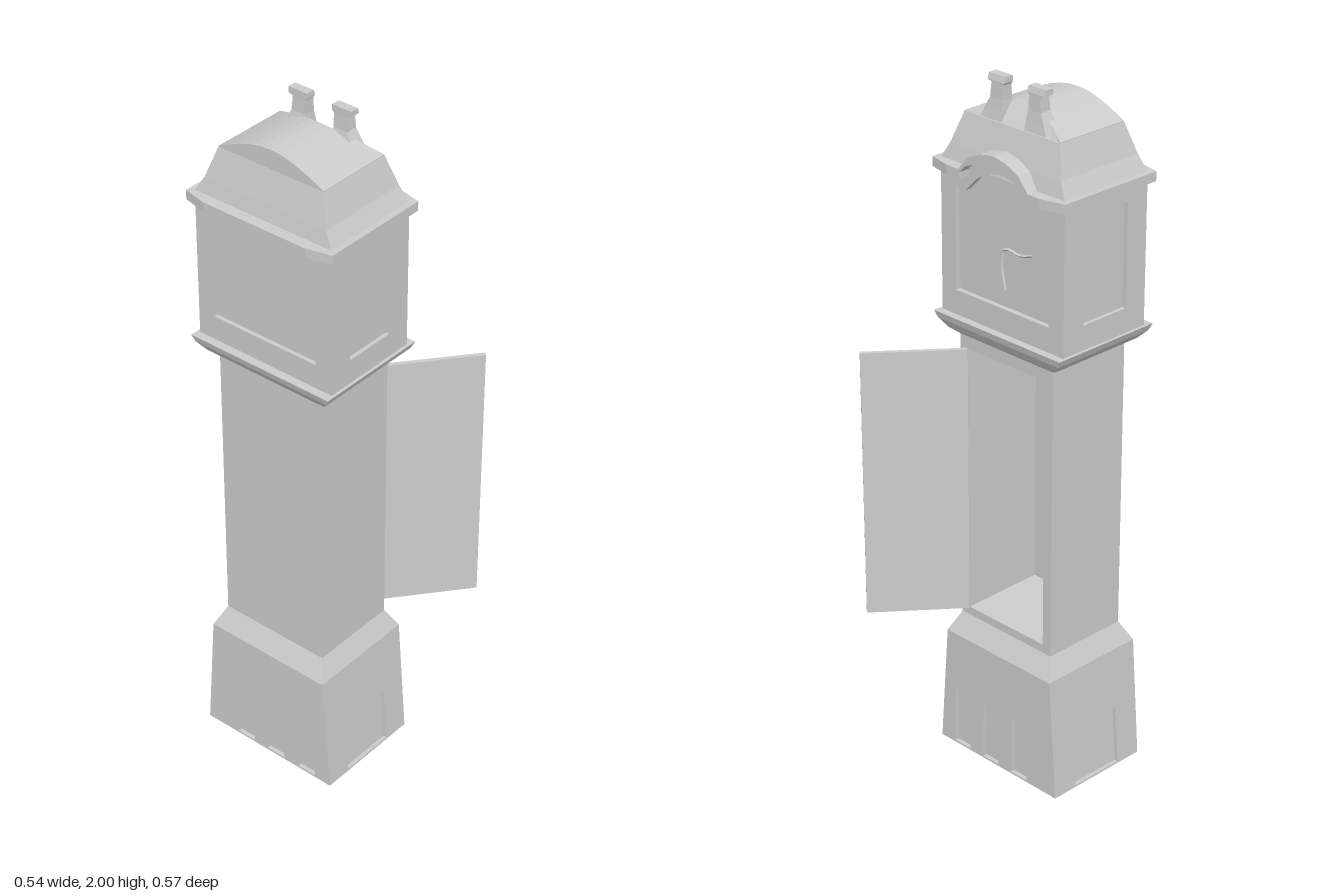
import * as THREE from 'three';

const material = new THREE.MeshStandardMaterial({ color: 0xcccccc, flatShading: true });

function add(parent, name, geometry, x = 0, y = 0, z = 0) {
  const m = new THREE.Mesh(geometry, material);
  m.name = name;
  m.position.set(x, y, z);
  parent.add(m);
  return m;
}

// Closed solid through rings of [x, y, z] points (counterclockwise seen from the end)
function loft(rings) {
  const n = rings[0].length, idx = [];
  for (let r = 0; r < rings.length - 1; r++) {
    for (let i = 0; i < n; i++) {
      const a = r * n + i, b = r * n + (i + 1) % n;
      idx.push(a, b, b + n, a, b + n, a + n);
    }
  }
  const last = (rings.length - 1) * n;
  for (let i = 1; i < n - 1; i++) idx.push(0, i + 1, i, last, last + i, last + i + 1);
  const g = new THREE.BufferGeometry();
  g.setAttribute('position', new THREE.Float32BufferAttribute(rings.flat(2), 3));
  g.setIndex(idx);
  const flat = g.toNonIndexed();
  flat.computeVertexNormals();
  return flat;
}

// Horizontal rectangle ring
const ring = (y, x0, x1, z0, z1) => [[x0, y, z1], [x1, y, z1], [x1, y, z0], [x0, y, z0]];

// Upright plate in x/y, front at z = 0
const toPath = (pts) => pts.map(([x, y]) => new THREE.Vector2(x, y));
function plate(outline, depth, holes = []) {
  const s = new THREE.Shape(toPath(outline));
  for (const h of holes) s.holes.push(new THREE.Path(toPath(h)));
  return new THREE.ExtrudeGeometry(s, { depth, bevelEnabled: false }).translate(0, 0, -depth);
}
const rect = (x0, x1, y0, y1) => [[x0, y0], [x1, y0], [x1, y1], [x0, y1]];

// Points of an arched edge, right to left
const arch = (a, y0, b, y1, y2) => [[a, y0], [b, y1], [b / 2, y2 - 0.008], [0, y2], [-b / 2, y2 - 0.008], [-b, y1], [-a, y0]];

function addBase(g) {
  add(g, 'baseCore', loft([ring(0, -0.215, 0.215, -0.243, 0.065), ring(0.36, -0.188, 0.188, -0.243, 0.065)]));
  const trapezoid = [[-0.227, 0], [0.227, 0], [0.2, 0.36], [-0.2, 0.36]];
  for (const s of [1, -1]) {
    const slots = [-0.141, -0.027, 0.084].map((u) => {
      const c = u * s;
      return [[c - 0.031, 0.006], [c + 0.031, 0.006], [c + 0.028, 0.18], [c - 0.028, 0.18]];
    });
    const face = add(g, s > 0 ? 'baseFront' : 'baseBack', plate(trapezoid, 0.012, slots), 0, 0, s > 0 ? 0.077 : -0.255);
    if (s < 0) face.rotation.y = Math.PI;
    const side = add(g, 'baseSide', plate(rect(-0.166, 0.166, 0, 0.361), 0.012, [rect(-0.085, 0.085, 0.006, 0.18)]), s * 0.227, 0, -0.089);
    side.rotation.set(-Math.atan(0.027 / 0.36), s * Math.PI / 2, 0, 'YXZ');
  }
  add(g, 'baseShoulder', loft([ring(0.36, -0.2, 0.2, -0.255, 0.077), ring(0.42, -0.172, 0.172, -0.222, 0.045)]));
}

function addTrunk(g) {
  add(g, 'trunkCase', plate(rect(-0.172, 0.172, 0.42, 1.27), 0.255, [rect(-0.1425, 0.1425, 0.445, 1.235)]), 0, 0, 0.045);
  add(g, 'trunkBack', new THREE.BoxGeometry(0.344, 0.85, 0.012), 0, 0.845, -0.216);
  // Open door, hinged at the edge of the opening
  const door = add(g, 'door', new THREE.BoxGeometry(0.285, 0.79, 0.012).translate(0.1425, 0, 0), -0.1425, 0.84, 0.047);
  door.rotation.y = Math.atan2(-0.22, -0.18);
}

function addHood(g) {
  // Flared moulding under the hood
  add(g, 'hoodMoulding', loft([[1.27, 0], [1.285, 0.45], [1.31, 0.85], [1.33, 1]].map(([y, t]) =>
    ring(y, -0.172 - 0.06 * t, 0.172 + 0.06 * t, -0.222 - 0.043 * t, 0.045 + 0.038 * t))));

  // Core behind the recessed panels
  const top = arch(0.14, 1.735, 0.1, 1.775, 1.805);
  add(g, 'hoodCore', plate([[-0.212, 1.33], [0.212, 1.33], [0.212, 1.735], ...top, [-0.212, 1.735]], 0.273), 0, 0, 0.045);
  const dialOpening = [[-0.17, 1.4], [0.17, 1.4], [0.17, 1.69], ...arch(0.13, 1.69, 0.085, 1.735, 1.765), [-0.17, 1.69]];
  add(g, 'hoodFront', plate([[-0.223, 1.33], [0.223, 1.33], [0.223, 1.735], ...top, [-0.223, 1.735]], 0.015, [dialOpening]), 0, 0, 0.06);
  const back = add(g, 'hoodBack', plate(rect(-0.223, 0.223, 1.33, 1.735), 0.012, [rect(-0.17, 0.17, 1.4, 1.69)]), 0, 0, -0.24);
  back.rotation.y = Math.PI;
  for (const s of [1, -1]) {
    const side = add(g, 'hoodSide', plate(rect(-0.15, 0.15, 1.33, 1.735), 0.012, [rect(-0.078, 0.078, 1.4, 1.695)]), s * 0.223, 0, -0.09);
    side.rotation.y = s * Math.PI / 2;
  }

  // Slightly bent clock hands
  const hands = {
    hourHand: [[0.005, 1.45], [-0.009, 1.515], [-0.004, 1.56]],
    minuteHand: [[-0.009, 1.553], [0.01, 1.565], [0.055, 1.56], [0.1, 1.572]],
  };
  for (const [name, pts] of Object.entries(hands)) {
    const curve = new THREE.CatmullRomCurve3(pts.map(([x, y]) => new THREE.Vector3(x, y, 0.05)));
    add(g, name, new THREE.TubeGeometry(curve, 8, 0.004, 4));
  }

  // Cornice slab with a gap in front, closed by the arched moulding
  const slab = [[-0.239, -0.255], [-0.167, -0.272], [0.167, -0.272], [0.239, -0.255], [0.239, 0.075],
    [0.167, 0.092], [0.12, 0.092], [0.12, 0.04], [-0.12, 0.04], [-0.12, 0.092], [-0.167, 0.092], [-0.239, 0.075]];
  const cornice = add(g, 'cornice', plate(slab.map(([x, z]) => [x, -z]), 0.027), 0, 1.757, 0);
  cornice.rotation.x = -Math.PI / 2;
  const outer = arch(0.125, 1.757, 0.09, 1.797, 1.825);
  const inner = arch(0.14, 1.73, 0.1, 1.77, 1.8).reverse();
  add(g, 'corniceArch', plate([...outer, ...inner], 0.05), 0, 0, 0.092);
}

function addRoof(g) {
  add(g, 'roofSkirt', loft([
    ring(1.755, -0.223, 0.223, -0.24, 0.06),
    ring(1.8, -0.198, 0.198, -0.229, 0.049),
    ring(1.885, -0.17, 0.17, -0.205, 0.025),
  ]));
  // Vaulted top, leaning back at the front
  const sections = [];
  for (let i = 0; i <= 12; i++) {
    const u = -0.17 + 0.34 * i / 12;
    const y = 1.887 + 0.052 * Math.cos(Math.PI * u / 0.34);
    sections.push([[u, 1.88, -0.205], [u, y, -0.205], [u, y, 0.025 - (y - 1.887)], [u, 1.88, 0.025]]);
  }
  add(g, 'roofVault', loft(sections));

  // Pair of horns: straight inside, flared outside
  const profile = [[1.87, 0.04, 0.125, -0.032, 0.024], [1.91, 0.042, 0.105, -0.03, 0.016], [1.94, 0.046, 0.09, -0.022, 0.012],
    [1.978, 0.046, 0.087, -0.02, 0.01], [1.984, 0.04, 0.101, -0.02, 0.01], [2.0, 0.04, 0.101, -0.02, 0.005]];
  for (const s of [1, -1]) {
    add(g, 'horn', loft(profile.map(([y, a, b, z0, z1]) =>
      ring(y, Math.min(s * a, s * b), Math.max(s * a, s * b), z0, z1))));
  }
}

export function createModel() {
  const model = new THREE.Group();
  model.name = 'longcaseClock';
  const clock = new THREE.Group();
  clock.name = 'clock';
  addBase(clock);
  addTrunk(clock);
  addHood(clock);
  addRoof(clock);
  // The dial faces +x
  clock.rotation.y = Math.PI / 2;
  clock.position.z = -0.043;
  model.add(clock);
  return model;
}
